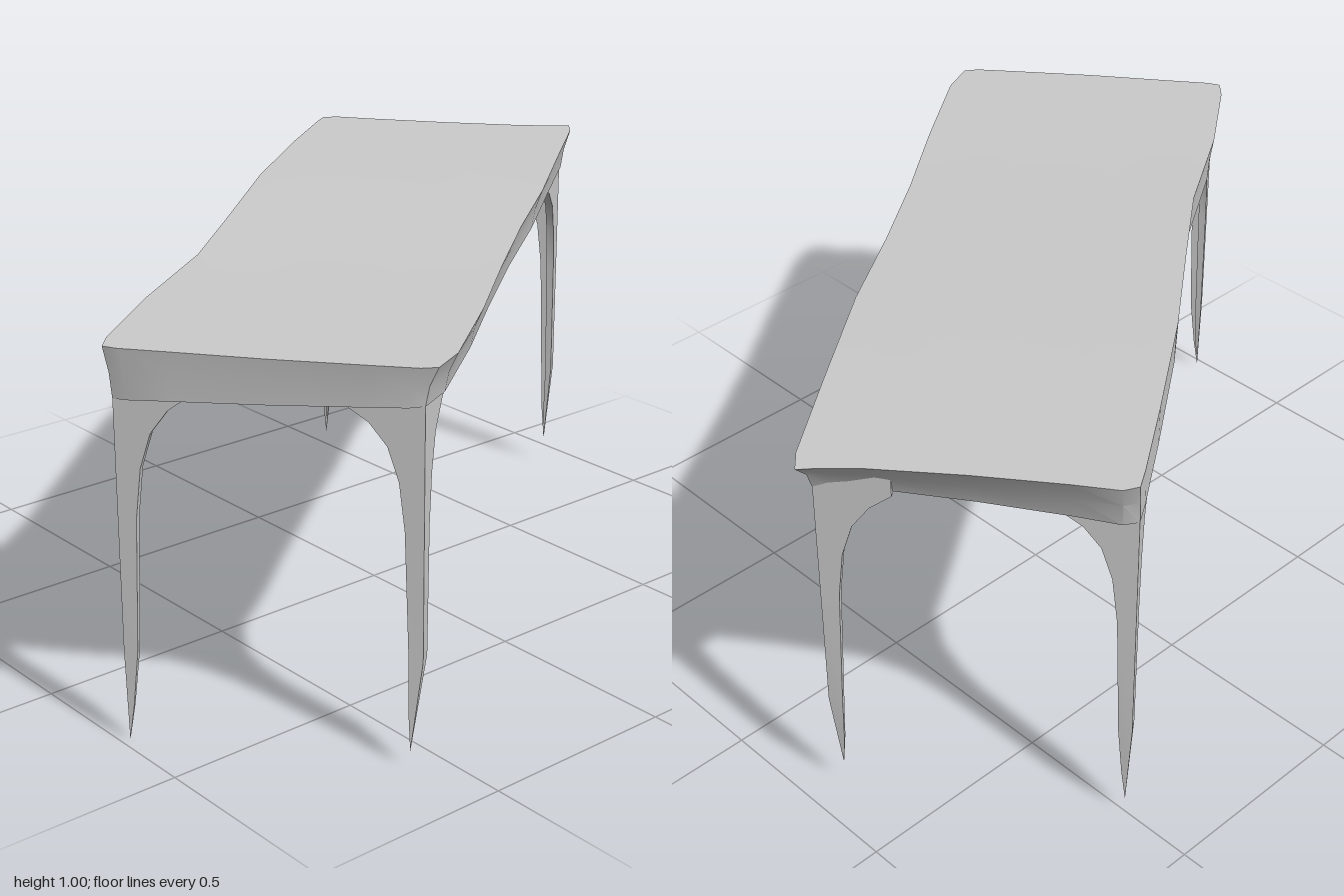
import * as THREE from 'three';
import { toCreasedNormals } from 'three/addons/utils/BufferGeometryUtils.js';

const V = (x, z) => new THREE.Vector2(x, z); // plan point (x, z)

// Corners run counterclockwise seen from above: back, right, front, left
const topCorners = [V(-0.31, -1), V(-0.85, -0.53), V(0.29, 1), V(0.85, 0.55)];
const legCorners = [V(-0.285, -0.94), V(-0.83, -0.505), V(0.298, 0.985), V(0.82, 0.56)];
const feet = [[-0.285, 0.07, -0.91], [-0.81, 0.04, -0.5], [0.3, 0, 0.98], [0.802, 0.04, 0.58]];
const legNames = ['backLeg', 'rightLeg', 'frontLeg', 'leftLeg'];

// Slight outward waves along each side: [position, offset]
const waves = [
  [[0, 0], [0.05, -0.006], [0.2, -0.015], [0.5, -0.01], [0.8, 0.004], [0.95, 0.015]],
  [[0, 0], [0.03, 0.004], [0.15, 0.01], [0.33, 0.013], [0.5, 0], [0.66, -0.01], [0.83, 0.013], [0.97, 0.01]],
  [[0, 0], [0.05, 0.008], [0.2, 0.01], [0.5, 0.016], [0.8, 0.014], [0.95, 0.012]],
  [[0, 0], [0.05, 0.022], [0.2, 0.024], [0.35, 0.016], [0.5, 0.016], [0.65, 0.025], [0.83, 0.018], [0.97, 0.012]],
];

// The top dips gently along its length
const along = (p) => 0.6 * p.x + 0.8 * p.y;
const across = (p) => 0.8 * p.x - 0.6 * p.y;
const topHeight = (p) => 0.974 - 0.032 * Math.tanh(1.9 * along(p));
const apronHeight = (p) => topHeight(p) - 0.105 + 0.04 * across(p);

function outline(corners) {
  const points = [];
  corners.forEach((a, i) => {
    const b = corners[(i + 1) % 4];
    const d = b.clone().sub(a).normalize();
    for (const [t, offset] of waves[i]) {
      points.push(a.clone().lerp(b, t).add(V(-d.y, d.x).multiplyScalar(offset)));
    }
  });
  return points;
}

// Skin a list of closed rings of equal length
function loft(rings, crease) {
  const n = rings[0].length;
  const index = [];
  for (let i = 0; i < rings.length - 1; i++) {
    for (let j = 0; j < n; j++) {
      const a = i * n + j, b = i * n + (j + 1) % n;
      index.push(a, a + n, b + n, a, b + n, b);
    }
  }
  const geometry = new THREE.BufferGeometry();
  geometry.setAttribute('position', new THREE.Float32BufferAttribute(rings.flat(2), 3));
  geometry.setIndex(index);
  return toCreasedNormals(geometry, crease);
}

const ring = (points, height) => points.map((p) => [p.x, height(p), p.y]);
const scaled = (points, s, s2 = s) => points.map((p) => {
  const u = along(p) * s, v = across(p) * s2;
  return V(0.6 * u + 0.8 * v, 0.8 * u - 0.6 * v);
});

// Top, sloping apron and recessed underside as one skin
function tableTop() {
  const edge = outline(topCorners);
  const apron = outline(legCorners);
  const inner = scaled(apron, 0.978, 0.935);
  const middle = edge.map((p, i) => p.clone().lerp(apron[i], 0.7));
  const under = (p) => topHeight(p) - 0.055;
  const steps = [0, 0.2, 0.4, 0.6, 0.8];
  return loft([
    ...steps.map((s) => ring(scaled(edge, s), topHeight)),
    ring(edge, topHeight),
    ring(middle, (p) => (topHeight(p) + apronHeight(p)) / 2),
    ring(apron, apronHeight),
    ring(inner, apronHeight),
    ring(inner, under),
    ...steps.reverse().map((s) => ring(scaled(inner, s), under)),
  ], 0.5);
}

// Leg sections: [height fraction, long arm, short arm, thickness]
const legProfile = [
  [1, 0.27, 0.17, 0.02], [0.92, 0.27, 0.17, 0.02], [0.88, 0.18, 0.12, 0.02],
  [0.82, 0.11, 0.08, 0.02], [0.73, 0.075, 0.055, 0.02], [0.6, 0.055, 0.042, 0.02],
  [0.25, 0.042, 0.032, 0.016], [0.1, 0.018, 0.015, 0.009], [0, 0, 0, 0],
];

// Angle-shaped leg flaring into both sides and tapering to a point
function leg(i) {
  const c = legCorners[i];
  const toPrev = legCorners[(i + 3) % 4].clone().sub(c).normalize();
  const toNext = legCorners[(i + 1) % 4].clone().sub(c).normalize();
  const [fx, fy, fz] = feet[i];
  const yTop = topHeight(c) - 0.03;
  return loft(legProfile.map(([f, long, short, w]) => {
    const [lp, ln] = i % 2 ? [short, long] : [long, short];
    const o = V(fx, fz).lerp(c, Math.min(1, f / 0.25));
    const section = [[lp, 0], [0, 0], [0, ln], [w, ln], [w, w], [lp, w]].map(([p, n]) =>
      o.clone().addScaledVector(toPrev, p).addScaledVector(toNext, n));
    return ring(section, () => fy + (yTop - fy) * f);
  }), 0.6);
}

export function createModel() {
  const group = new THREE.Group();
  group.name = 'table';
  const material = new THREE.MeshStandardMaterial({ color: 0xcccccc });
  const add = (name, geometry) => {
    const mesh = new THREE.Mesh(geometry, material);
    mesh.name = name;
    group.add(mesh);
  };
  add('tableTop', tableTop());
  legNames.forEach((name, i) => add(name, leg(i)));
  return group;
}
